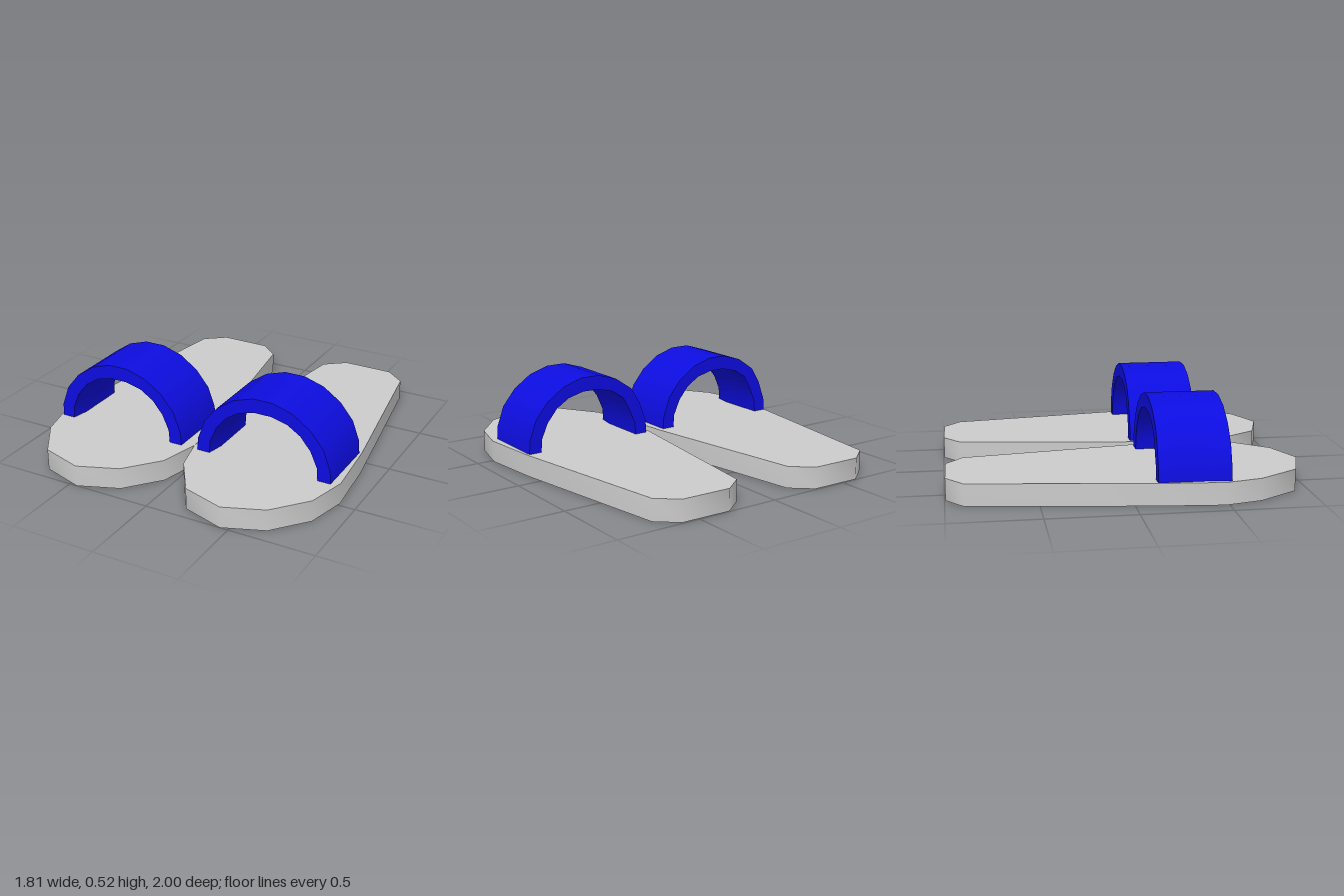
import * as THREE from 'three';
import { toCreasedNormals } from 'three/addons/utils/BufferGeometryUtils.js';

const SOLE_HEIGHT = 0.125;

// Sole outline as (x, z), heel to toe and back
const OUTLINE = [
  [-0.15, -0.995], [0.15, -0.99], [0.267, -0.89], [0.42, 0.11], [0.4525, 0.48],
  [0.395, 0.715], [0.23, 0.91], [0, 1], [-0.25, 0.92], [-0.4, 0.69],
  [-0.4525, 0.48], [-0.415, 0.1], [-0.273, -0.9],
];

// Half of the strap arch as (x, y), from the foot to the crown
const OUTER = [[0.41, 0.12], [0.405, 0.2], [0.362, 0.317], [0.283, 0.413], [0.178, 0.485], [0.06, 0.522]];
const INNER = [[0.333, 0.12], [0.327, 0.2], [0.287, 0.29], [0.225, 0.365], [0.147, 0.415], [0.05, 0.44]];

function extrude(points, depth, steps = 1) {
  const shape = new THREE.Shape(points.map(([x, y]) => new THREE.Vector2(x, y)));
  return new THREE.ExtrudeGeometry(shape, { depth, steps, bevelEnabled: false });
}

function soleGeometry() {
  const geometry = extrude(OUTLINE.map(([x, z]) => [x, -z]), SOLE_HEIGHT);
  geometry.rotateX(-Math.PI / 2);
  return toCreasedNormals(geometry, 1);
}

function strapGeometry() {
  const mirror = (half) => half.map(([x, y]) => [-x, y]);
  const arch = [
    ...OUTER, ...mirror(OUTER).reverse(),
    ...mirror(INNER), ...[...INNER].reverse(),
  ];
  const geometry = extrude(arch, 0.395, 4);
  geometry.translate(0, 0, 0.12);
  // One foot of the strap pinches inward behind its front edge
  const p = geometry.attributes.position;
  for (let i = 0; i < p.count; i++) {
    if (p.getX(i) < -0.28 && p.getY(i) < 0.33 && p.getZ(i) < 0.45) p.setX(i, p.getX(i) + 0.02);
  }
  return toCreasedNormals(geometry, 1);
}

export function createModel() {
  const group = new THREE.Group();
  const soleMaterial = new THREE.MeshStandardMaterial({ color: 0xcccccc });
  const strapMaterial = new THREE.MeshStandardMaterial({ color: 0x0d0de0 });
  const soleGeo = soleGeometry();
  const strapGeo = strapGeometry();

  // Both sandals share one shape; each strap sits slightly off centre
  for (const [name, x, strapX] of [['left', 0.4525, 0.45], ['right', -0.4525, -0.475]]) {
    const sandal = new THREE.Group();
    sandal.name = `${name}Sandal`;
    const sole = new THREE.Mesh(soleGeo, soleMaterial);
    sole.name = `${name}Sole`;
    sole.position.x = x;
    const strap = new THREE.Mesh(strapGeo, strapMaterial);
    strap.name = `${name}Strap`;
    strap.position.x = strapX;
    sandal.add(sole, strap);
    group.add(sandal);
  }
  return group;
}
